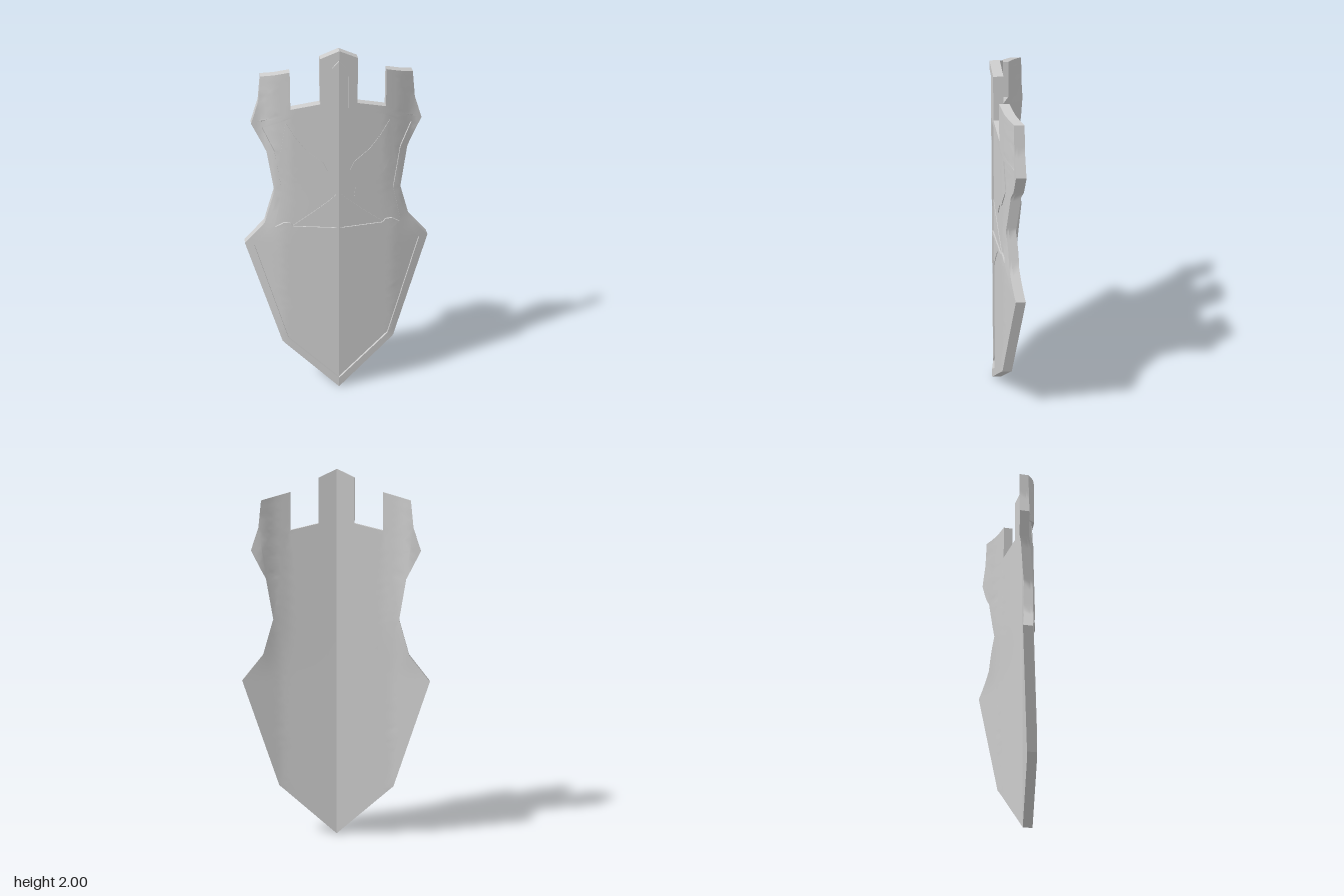
import * as THREE from 'three';
import { mergeGeometries, toCreasedNormals } from 'three/addons/utils/BufferGeometryUtils.js';

const material = new THREE.MeshStandardMaterial({ color: 0xcccccc });
const PLATE = 0.036, THICK = 0.051;

// Linear interpolation through [x, value] pairs
function along(table, x) {
  for (let i = 1; i < table.length; i++) {
    const [x0, v0] = table[i - 1], [x1, v1] = table[i];
    if (x <= x1) return v0 + (v1 - v0) * (x - x0) / (x1 - x0);
  }
  return table[table.length - 1][1];
}

// Depth of the bent back surface: it sweeps back from a central ridge
const lowerDrop = [[0, 0], [0.3, 0.054], [0.5, 0.126]];
const upperDrop = [[0, 0], [0.25, 0.047], [0.33, 0.075], [0.39, 0.115], [0.45, 0.126]];
function backZ(x, y) {
  const t = THREE.MathUtils.smoothstep(y, 0.88, 1.3);
  return 0.036 - THREE.MathUtils.lerp(along(lowerDrop, x), along(upperDrop, x), t);
}

// Split a triangle at its longest edge until it is fine enough to bend
function split(a, b, c, out) {
  const tri = [a, b, c];
  let longest = 0.05, k = -1;
  for (let i = 0; i < 3; i++) {
    const p = tri[i], q = tri[(i + 1) % 3];
    const d = Math.hypot(p.x - q.x, p.y - q.y);
    if (d > longest + 1e-6) { longest = d; k = i; }
  }
  if (k < 0) { out.push(tri); return; }
  const p = tri[k], q = tri[(k + 1) % 3], r = tri[(k + 2) % 3];
  const m = p.clone().add(q).multiplyScalar(0.5);
  split(p, m, r, out);
  split(m, q, r, out);
}

// Extrude a half outline, bend it over the back surface and mirror it
function bentPart(name, points, low, high) {
  const shape = new THREE.Shape(points.map(([x, y]) => new THREE.Vector2(x, y)));
  const flat = new THREE.ExtrudeGeometry(shape, { depth: 1, bevelEnabled: false });
  const pos = (flat.index ? flat.toNonIndexed() : flat).attributes.position;
  const tris = [];
  for (let i = 0; i < pos.count; i += 3) {
    const [a, b, c] = [0, 1, 2].map(j => new THREE.Vector3().fromBufferAttribute(pos, i + j));
    if (Math.max(a.x, b.x, c.x) < 1e-6) continue; // no wall on the centre line
    split(a, b, c, tris);
  }
  const halves = [1, -1].map(side => {
    const data = [];
    for (const [a, b, c] of tris) {
      for (const v of side > 0 ? [a, b, c] : [a, c, b]) {
        data.push(side * v.x, v.y, backZ(v.x, v.y) + low + (high - low) * v.z);
      }
    }
    const g = new THREE.BufferGeometry();
    g.setAttribute('position', new THREE.Float32BufferAttribute(data, 3));
    return toCreasedNormals(g, 0.5);
  });
  const mesh = new THREE.Mesh(mergeGeometries(halves), material);
  mesh.name = name;
  return mesh;
}

export function createModel() {
  const group = new THREE.Group();
  group.name = 'shield';

  // Left half outlines, from the top of the centre line to the bottom
  const outer = [
    [0, 2], [0.095, 1.955], [0.095, 1.715], [0.245, 1.68], [0.245, 1.88], [0.39, 1.84],
    [0.405, 1.7], [0.445, 1.58], [0.37, 1.43], [0.335, 1.21], [0.39, 1.02], [0.5, 0.885],
    [0.312, 0.29], [0, 0],
  ];
  const inner = [
    [0, 1.955], [0.05, 1.925], [0.05, 1.69], [0.23, 1.64], [0.39, 1.56], [0.33, 1.44],
    [0.295, 1.21], [0.34, 1.01], [0.45, 0.88], [0.278, 0.31], [0, 0.058],
  ];

  // Recessed plate and the raised border around it
  group.add(bentPart('plate', outer, 0, PLATE));
  group.add(bentPart('rim', [...outer, ...inner.slice().reverse()], PLATE, THICK));

  // Long upright sword with an arrow-shaped pommel
  group.add(bentPart('sword', [
    [0, 1.945], [0.035, 1.905], [0.035, 1.88], [0.013, 1.87], [0.013, 0.16], [0, 0.12],
  ], 0.03, PLATE + 0.009));

  // Crossguard with pointed ends
  group.add(bentPart('crossguard', [
    [0, 1.012], [0.24, 1.012], [0.255, 1.03], [0.29, 1.03], [0.335, 1.0],
    [0.29, 0.97], [0.255, 0.97], [0.24, 0.988], [0, 0.988],
  ], 0.03, PLATE + 0.01));

  // Spread wings in low relief
  group.add(bentPart('wings', [
    [0.27, 1.6], [0.22, 1.52], [0.165, 1.45], [0.08, 1.385], [0.06, 1.34], [0.07, 1.29],
    [0.09, 1.25], [0.08, 1.17], [0.14, 1.2], [0.18, 1.27], [0.235, 1.3], [0.3, 1.42],
  ], 0.03, PLATE + 0.004));

  // Pointed emblem behind the crossguard
  group.add(bentPart('emblem', [
    [0, 1.22], [0.05, 1.17], [0.12, 1.11], [0.26, 1.0], [0.12, 0.95], [0.07, 0.88], [0, 0.77],
  ], 0.03, PLATE + 0.003));

  return group;
}
